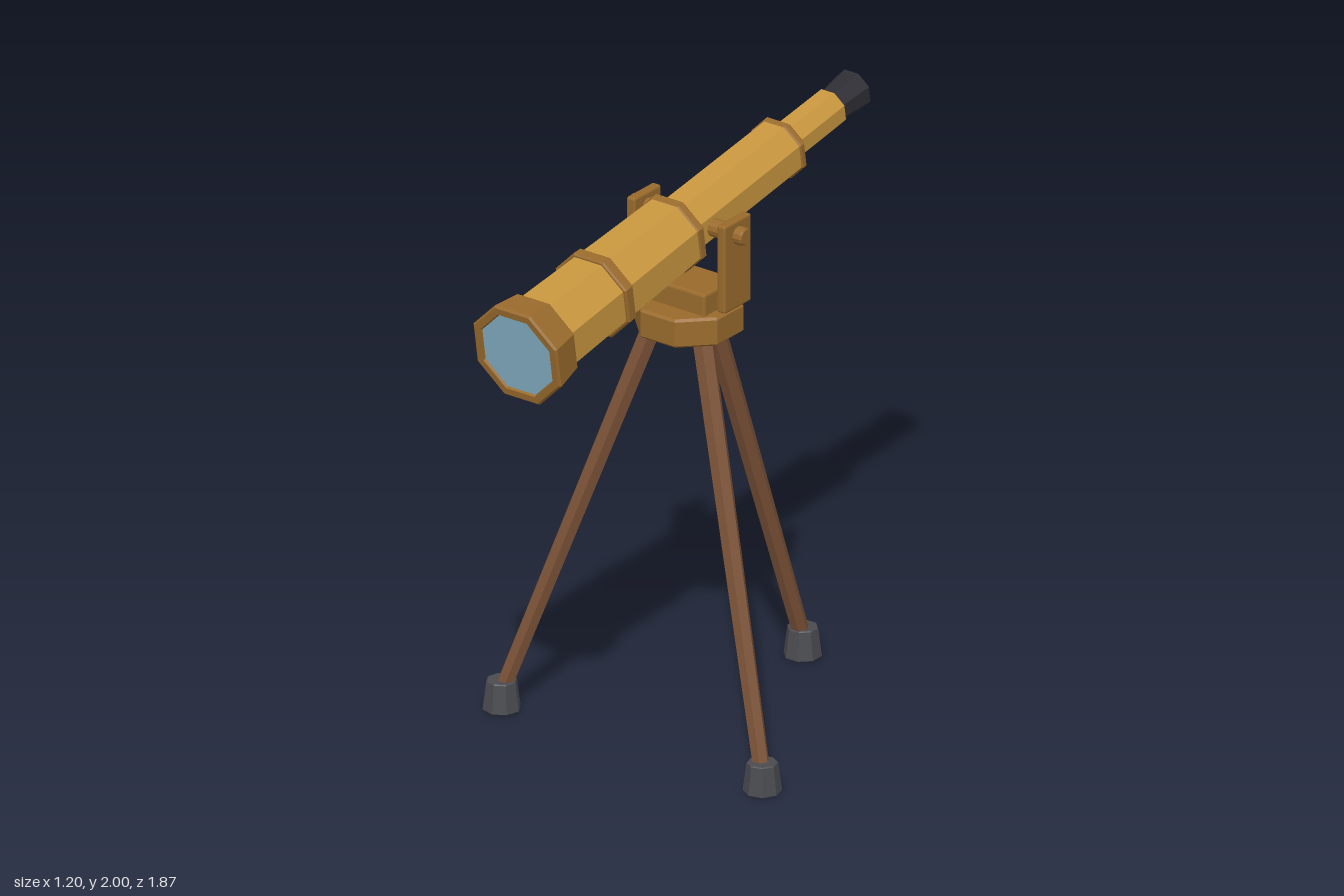
import * as THREE from 'three';
import { RoundedBoxGeometry } from 'three/addons/geometries/RoundedBoxGeometry.js';

const mat = (color) => new THREE.MeshStandardMaterial({ color, flatShading: true });
const brass = mat(0xc8963e), bronze = mat(0x9a6b2c), wood = mat(0x7c5337);
const rubber = mat(0x4a4b50), black = mat(0x2e2d34), glass = mat(0x86b0c6);

const PIVOT_Y = 1.795, PIVOT_Z = -0.025, TILT = THREE.MathUtils.degToRad(9);

function add(parent, name, geometry, material, x = 0, y = 0, z = 0) {
  const mesh = new THREE.Mesh(geometry, material);
  mesh.name = name;
  mesh.position.set(x, y, z);
  parent.add(mesh);
  return mesh;
}

// Octagonal turned solid; profile holds [half width across flats, height] from bottom to top
function octagon(profile) {
  const k = 1 / Math.cos(Math.PI / 8);
  const points = profile.map(([a, h]) => new THREE.Vector2(a * k, h));
  return new THREE.LatheGeometry(points, 8, Math.PI / 8);
}

// Closed octagonal prism with chamfered rims
function prism(a0, h0, a1, h1, b) {
  return octagon([[0, h0], [a0 - b, h0], [a0, h0 + b], [a1, h1 - b], [a1 - b, h1], [0, h1]]);
}

function createBarrel() {
  const barrel = new THREE.Group();
  barrel.name = 'barrel';
  const part = (name, geometry, material) => add(barrel, name, geometry.rotateX(Math.PI / 2), material);

  // Telescoping tubes
  part('frontTube', prism(0.125, 0.09, 0.141, 0.85, 0.003), brass);
  part('middleTube', prism(0.097, -0.497, 0.099, 0.12, 0.004), brass);
  part('rearTube', prism(0.064, -0.775, 0.065, -0.48, 0.003), brass);

  // Joint rings
  part('frontRing', prism(0.144, 0.487, 0.146, 0.532, 0.006), bronze);
  part('middleRing', prism(0.13, 0.08, 0.13, 0.115, 0.006), bronze);
  part('rearRing', prism(0.102, -0.507, 0.102, -0.482, 0.005), bronze);
  part('rearCollar', prism(0.085, -0.525, 0.087, -0.495, 0.005), bronze);

  // Flared hood with a recessed lens
  part('lensHood', octagon([
    [0, 0.823], [0.149, 0.823], [0.155, 0.829], [0.172, 0.94], [0.165, 0.947],
    [0.142, 0.947], [0.138, 0.935], [0, 0.935],
  ]), bronze);
  part('lens', octagon([[0.139, 0.93], [0.138, 0.939], [0, 0.939]]), glass);

  part('eyepiece', prism(0.067, -0.906, 0.054, -0.765, 0.004), black);

  barrel.position.set(0, PIVOT_Y, PIVOT_Z);
  barrel.rotation.x = TILT;
  return barrel;
}

function createMount() {
  const mount = new THREE.Group();
  mount.name = 'mount';
  add(mount, 'base', prism(0.17, 1.41, 0.17, 1.512, 0.008), bronze, 0, 0, PIVOT_Z);
  add(mount, 'block', new RoundedBoxGeometry(0.26, 0.085, 0.175, 1, 0.008), bronze, 0, 1.545, PIVOT_Z);
  add(mount, 'crossBar', new RoundedBoxGeometry(0.345, 0.04, 0.04, 1, 0.006), bronze, 0, 1.537, PIVOT_Z);

  // Side plates and the pivot pin through them
  for (const side of [-1, 1]) {
    add(mount, side > 0 ? 'leftPlate' : 'rightPlate',
      new RoundedBoxGeometry(0.034, 0.314, 0.144, 1, 0.007), bronze, side * 0.185, 1.69, PIVOT_Z);
  }
  const profile = [[0, -0.234], [0.025, -0.234], [0.031, -0.228], [0.031, 0.228], [0.025, 0.234], [0, 0.234]];
  const pin = new THREE.LatheGeometry(profile.map(([r, h]) => new THREE.Vector2(r, h)), 12);
  add(mount, 'pivotPin', pin.rotateZ(Math.PI / 2), bronze, 0, PIVOT_Y, PIVOT_Z);
  return mount;
}

// One tripod leg leaning out towards +z
function createLeg() {
  const leg = new THREE.Group();
  const top = new THREE.Vector3(0, 1.43, 0.112), bottom = new THREE.Vector3(0, 0.06, 0.617);
  const axis = top.clone().sub(bottom);
  const geometry = new THREE.CylinderGeometry(0.037, 0.029, axis.length(), 6).rotateY(Math.PI / 6);
  const shaft = add(leg, 'legShaft', geometry, wood);
  shaft.position.copy(top).add(bottom).multiplyScalar(0.5);
  shaft.quaternion.setFromUnitVectors(new THREE.Vector3(0, 1, 0), axis.normalize());
  add(leg, 'foot', prism(0.06, 0, 0.048, 0.104, 0.003), rubber, 0, 0, 0.617);
  return leg;
}

export function createModel() {
  const model = new THREE.Group();
  model.name = 'telescope';
  model.add(createBarrel(), createMount());

  // Tripod: one leg to the rear, two to the front sides
  ['rearLeg', 'leftLeg', 'rightLeg'].forEach((name, i) => {
    const leg = createLeg();
    leg.name = name;
    leg.position.z = PIVOT_Z;
    leg.rotation.y = Math.PI + i * Math.PI * 2 / 3 * (i === 0 ? 0 : 1);
    if (name === 'leftLeg') leg.rotation.y = Math.PI / 3;
    if (name === 'rightLeg') leg.rotation.y = -Math.PI / 3;
    model.add(leg);
  });
  return model;
}
